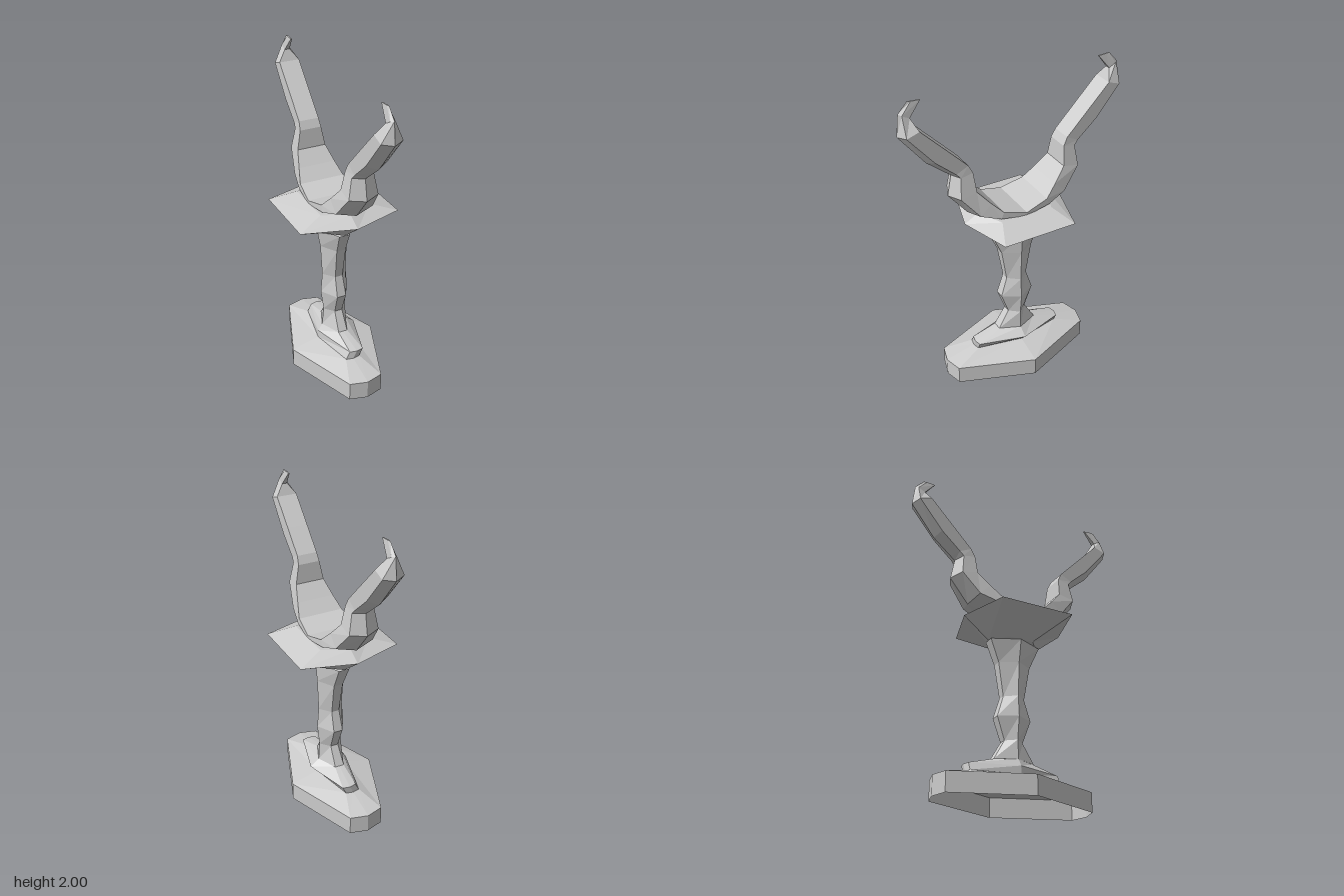
import * as THREE from 'three';

const material = new THREE.MeshStandardMaterial({ color: 0xcccccc, flatShading: true, side: THREE.DoubleSide });

// Skin a list of equal-length rings of [x, y, z] points, optionally closing the ends.
function loft(name, rings, capStart = false, capEnd = false) {
  const pos = [];
  const tri = (a, b, c) => pos.push(...a, ...b, ...c);
  const n = rings[0].length;
  for (let r = 0; r < rings.length - 1; r++) {
    for (let i = 0; i < n; i++) {
      const j = (i + 1) % n;
      const a = rings[r][i], b = rings[r][j], c = rings[r + 1][j], d = rings[r + 1][i];
      tri(a, b, c);
      tri(a, c, d);
    }
  }
  const first = rings[0], last = rings[rings.length - 1];
  for (let i = 1; i < n - 1; i++) {
    if (capStart) tri(first[0], first[i + 1], first[i]);
    if (capEnd) tri(last[0], last[i], last[i + 1]);
  }
  const geometry = new THREE.BufferGeometry();
  geometry.setAttribute('position', new THREE.Float32BufferAttribute(pos, 3));
  geometry.computeVertexNormals();
  const mesh = new THREE.Mesh(geometry, material);
  mesh.name = name;
  return mesh;
}

// Long octagon: side points, shoulders and a shallow point at each end.
const octagon = (y, hx, sx, sz, hz, dx = 0) => [
  [hx, 0], [sx, -sz], [0, -hz], [-sx, -sz], [-hx, 0], [-sx, sz], [0, hz], [sx, sz],
].map(([x, z]) => [x + dx, y, z]);

// Hexagon with side points on the x axis and narrow flat ends.
const stemRing = ([y, hx, cx, hz, dx]) => [
  [hx, 0], [cx, -hz], [-cx, -hz], [-hx, 0], [-cx, hz], [cx, hz],
].map(([x, z]) => [x + dx, y, z]);

// Hexagon with flat sides and pointed ends.
const plateRing = ([y, hx, sz, hz]) => [
  [hx, sz], [hx, -sz], [0, -hz], [-hx, -sz], [-hx, sz], [0, hz],
].map(([x, z]) => [x, y, z]);

// Horn section: flat inner face, sides, and a shallow ridge along the outside.
function hornRing([iz, iy, oz, oy, hw]) {
  const k = 0.72;
  const mz = iz + (oz - iz) * k, my = iy + (oy - iy) * k;
  return [[hw, iy, iz], [-hw, iy, iz], [-hw, my, mz], [0, oy, oz], [hw, my, mz]];
}

export function createModel() {
  const model = new THREE.Group();

  // Hollow foot with sloping top
  model.add(loft('base', [
    octagon(0, 0.285, 0.11, 0.465, 0.495),
    octagon(0.12, 0.285, 0.11, 0.465, 0.495),
    octagon(0.165, 0.105, 0.045, 0.285, 0.295),
  ]));

  // Small step on the foot
  model.add(loft('baseStep', [
    octagon(0.165, 0.105, 0.045, 0.29, 0.3),
    octagon(0.215, 0.128, 0.045, 0.29, 0.3, 0.025),
    octagon(0.26, 0.085, 0.03, 0.125, 0.13, 0.01),
  ], false, true));

  // Waisted stem: y, half width, end half width, half depth, x shift
  model.add(loft('stem', [
    [0.26, 0.085, 0.03, 0.13, 0.01],
    [0.38, 0.076, 0.025, 0.06, 0.012],
    [0.52, 0.093, 0.03, 0.11, 0.01],
    [0.65, 0.082, 0.025, 0.07, 0.01],
    [0.86, 0.092, 0.03, 0.105, 0.008],
    [1.0, 0.11, 0.035, 0.165, 0],
  ].map(stemRing)));

  // Sharp-rimmed plate
  model.add(loft('plate', [
    [1.0, 0.11, 0.08, 0.165],
    [1.13, 0.32, 0.235, 0.33],
    [1.18, 0.16, 0.165, 0.24],
  ].map(plateRing), true, true));

  // Pair of horns: inner z, inner y, outer z, outer y, half width
  const hornRings = [
    [0, 1.195, 0, 1.165, 0.16],
    [0.145, 1.235, 0.17, 1.178, 0.145],
    [0.215, 1.305, 0.31, 1.21, 0.12],
    [0.29, 1.39, 0.43, 1.36, 0.093],
    [0.3, 1.51, 0.405, 1.49, 0.07],
    [0.325, 1.56, 0.43, 1.51, 0.065],
    [0.455, 1.695, 0.55, 1.61, 0.065],
    [0.6, 1.845, 0.705, 1.81, 0.065],
    [0.63, 1.91, 0.69, 1.94, 0.016],
    [0.56, 1.995, 0.635, 2.0, 0.004],
  ].map(hornRing);
  for (const name of ['frontHorn', 'backHorn']) {
    const horn = loft(name, hornRings, false, true);
    if (name === 'backHorn') horn.rotation.y = Math.PI;
    model.add(horn);
  }

  return model;
}
